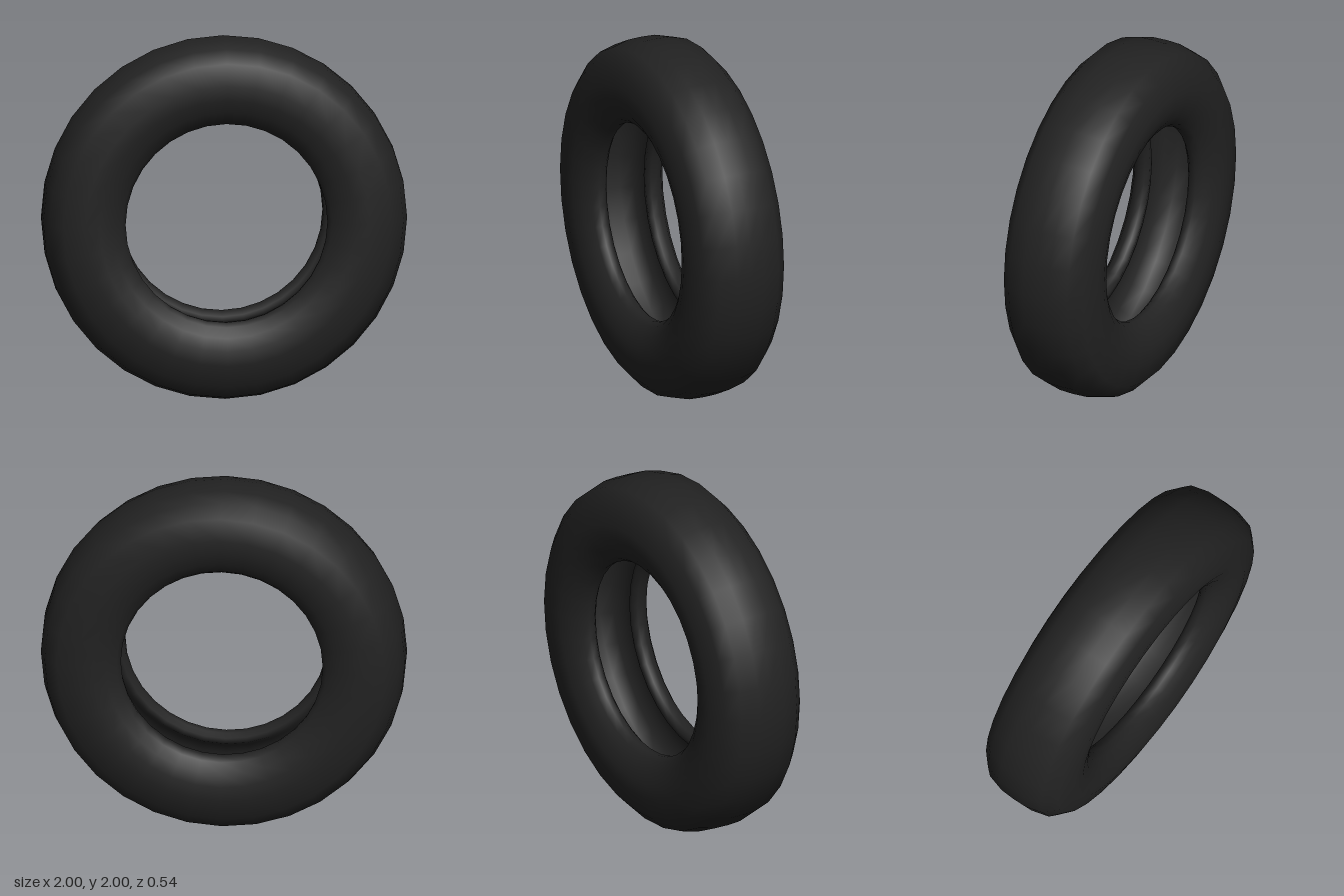
import * as THREE from 'three';

export function createModel() {
  const group = new THREE.Group();
  group.name = 'tire';
  const rubber = new THREE.MeshStandardMaterial({ color: 0x222222 });
  rubber.name = 'black rubber';

  // Half cross-section [radius, z]: tread centre, shoulder, sidewall, bead, hollow inside
  const half = [
    [1, 0], [0.997, 0.08], [0.97, 0.18], [0.9, 0.245], [0.78, 0.272], [0.7, 0.268],
    [0.63, 0.245], [0.575, 0.21], [0.553, 0.175], [0.557, 0.14], [0.58, 0.118],
    [0.615, 0.125], [0.64, 0.16], [0.7, 0.2], [0.79, 0.205], [0.87, 0.18],
    [0.92, 0.12], [0.93, 0.05], [0.93, 0],
  ];
  // Closed ring, running from the hollow over the back, the tread and the front
  const back = half.map(([r, z]) => new THREE.Vector2(r, -z)).reverse();
  const front = half.slice(1).map(([r, z]) => new THREE.Vector2(r, z));

  // Smooth ring of 32 sides, its axle along z
  const geometry = new THREE.LatheGeometry([...back, ...front], 32);
  geometry.rotateX(Math.PI / 2);
  const tire = new THREE.Mesh(geometry, rubber);
  tire.name = 'tireCasing';
  tire.position.y = 1;
  group.add(tire);
  return group;
}
